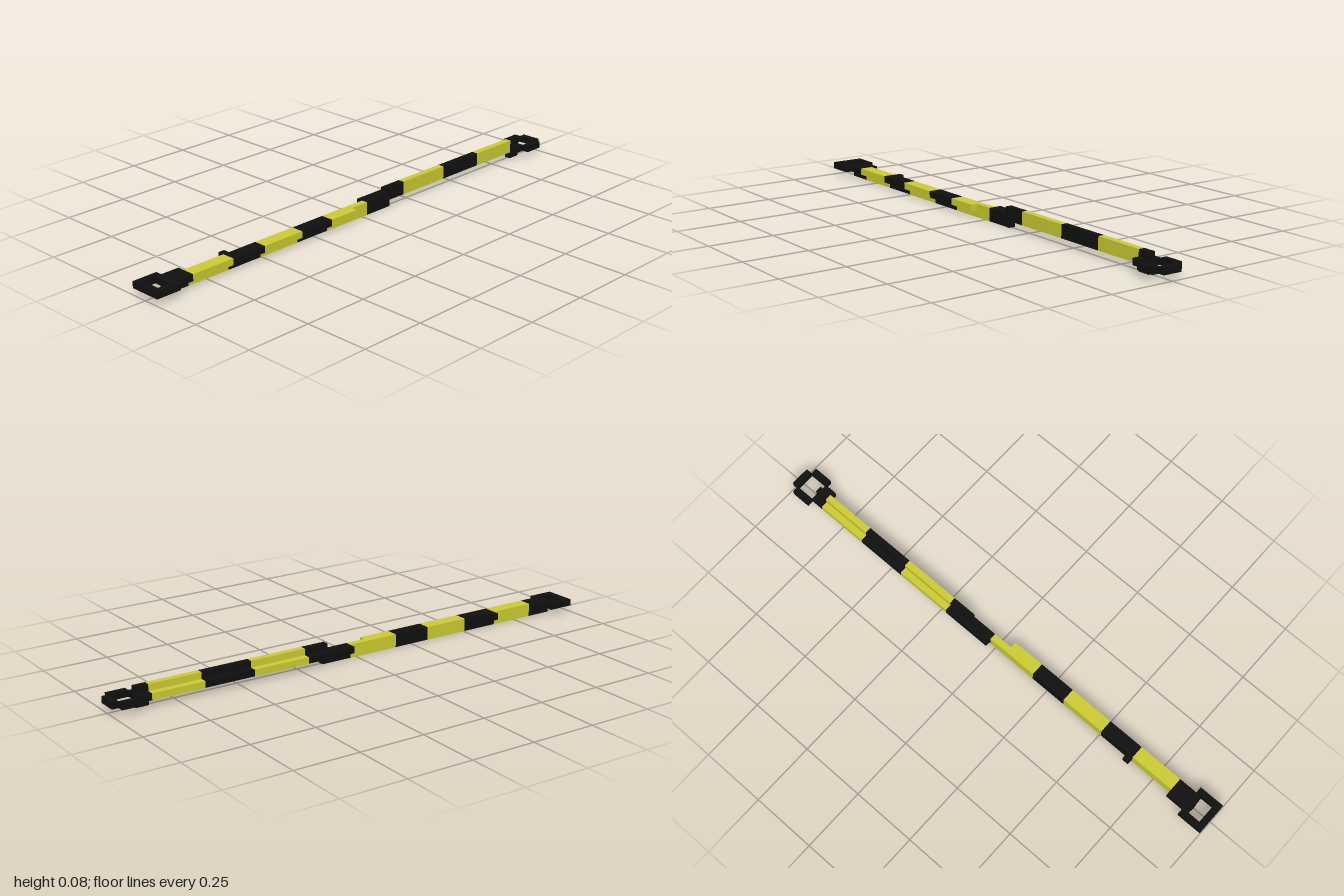
import * as THREE from 'three';

const yellow = new THREE.MeshStandardMaterial({ color: 0xcccc33 });
yellow.name = 'yellow';
const black = new THREE.MeshStandardMaterial({ color: 0x101010 });
black.name = 'black';

// All sections are built on a grid of steps of T
const T = 0.025, H = T / 2, F = H + T, W = F + T;

// Cross-sections as [z, y] corners
const frontAngle = [[-H, 0], [H, 0], [H, T], [F, T], [F, 2 * T], [-H, 2 * T]];
const backAngle = [[-F, T], [H, T], [H, 3 * T], [-H, 3 * T], [-H, 2 * T], [-F, 2 * T]];
const rect = (z0, z1, y0, y1) => [[z0, y0], [z1, y0], [z1, y1], [z0, y1]];
const web = rect(-H, H, 0, 2 * T);
const spliceSection = [[-H, 0], [H, 0], [H, 2 * T], [-F, 2 * T], [-F, T], [-H, T]];
const teeSection = [[-H, 0], [H, 0], [H, T], [F, T], [F, 2 * T], [-F, 2 * T], [-F, T], [-H, T]];
const crossSection = [[-H, 0], [H, 0], [H, T], [F, T], [F, 2 * T], [H, 2 * T],
  [H, 3 * T], [-H, 3 * T], [-H, 2 * T], [-F, 2 * T], [-F, T], [-H, T]];

// Run a cross-section along x from x0 to x1
function run(parent, name, material, x0, x1, section) {
  const shape = new THREE.Shape(section.map(([z, y]) => new THREE.Vector2(-z, y)));
  const geometry = new THREE.ExtrudeGeometry(shape, { depth: x1 - x0, bevelEnabled: false });
  geometry.rotateY(Math.PI / 2).translate(x0, 0, 0);
  const mesh = new THREE.Mesh(geometry, material);
  mesh.name = name;
  parent.add(mesh);
}

// Stripes alternate between yellow and black at the given stations
function stripes(parent, name, stations, section, startBlack) {
  for (let i = 0; i < stations.length - 1; i++) {
    const dark = (i % 2 === 0) === startBlack;
    run(parent, name + (i + 1), dark ? black : yellow, stations[i], stations[i + 1], section);
  }
}

function part(parent, name) {
  const group = new THREE.Group();
  group.name = name;
  parent.add(group);
  return group;
}

export function createModel() {
  const model = new THREE.Group();
  model.name = 'stripedBar';

  // Lower half: angle section with its flange to the front
  const lower = part(model, 'lowerBar');
  stripes(lower, 'lowerStripe', [-0.827, -0.65, -0.505, -0.327, -0.18, -0.053], frontAngle, false);
  run(lower, 'lowerWebEnd', yellow, -0.053, 0.025, web);
  run(lower, 'rearNub', black, -0.65, -0.625, rect(-F, -H, T, 2 * T));

  // Splice where the two halves overlap
  const splice = part(model, 'splice');
  run(splice, 'spliceBlock', black, 0.025, 0.125, spliceSection);
  run(splice, 'spliceTongue', black, 0.125, 0.147, rect(-H, H, 0, T));

  // Upper half: angle section with its flange to the back
  const upper = part(model, 'upperBar');
  stripes(upper, 'upperStripe', [0.125, 0.222, 0.447, 0.645, 0.85], backAngle, true);

  // Square loop with its collar at the right end
  const rightLoop = part(model, 'rightLoop');
  run(rightLoop, 'loopEnd', black, -1, -0.975, rect(-W, W, T, 2 * T));
  run(rightLoop, 'loopInnerBar', black, -0.925, -0.9, rect(-W, W, T, 2 * T));
  run(rightLoop, 'collar', black, -0.9, -0.827, teeSection);
  run(rightLoop, 'collarKeel', black, -0.925, -0.9, rect(-H, H, 0, T));

  // Loop with notched corners and cross-shaped collar at the left end
  const leftLoop = part(model, 'leftLoop');
  run(leftLoop, 'collar', black, 0.85, 0.9, crossSection);
  run(leftLoop, 'loopEnd', black, 0.975, 1, rect(-F, F, T, 2 * T));

  // Side rails of both loops
  for (const s of [-1, 1]) {
    const rail = rect(s > 0 ? F : -W, s > 0 ? W : -F, T, 2 * T);
    const side = s > 0 ? 'front' : 'rear';
    run(rightLoop, side + 'Rail', black, -0.975, -0.925, rail);
    run(leftLoop, side + 'Rail', black, 0.9, 0.975, rail);
  }
  return model;
}
